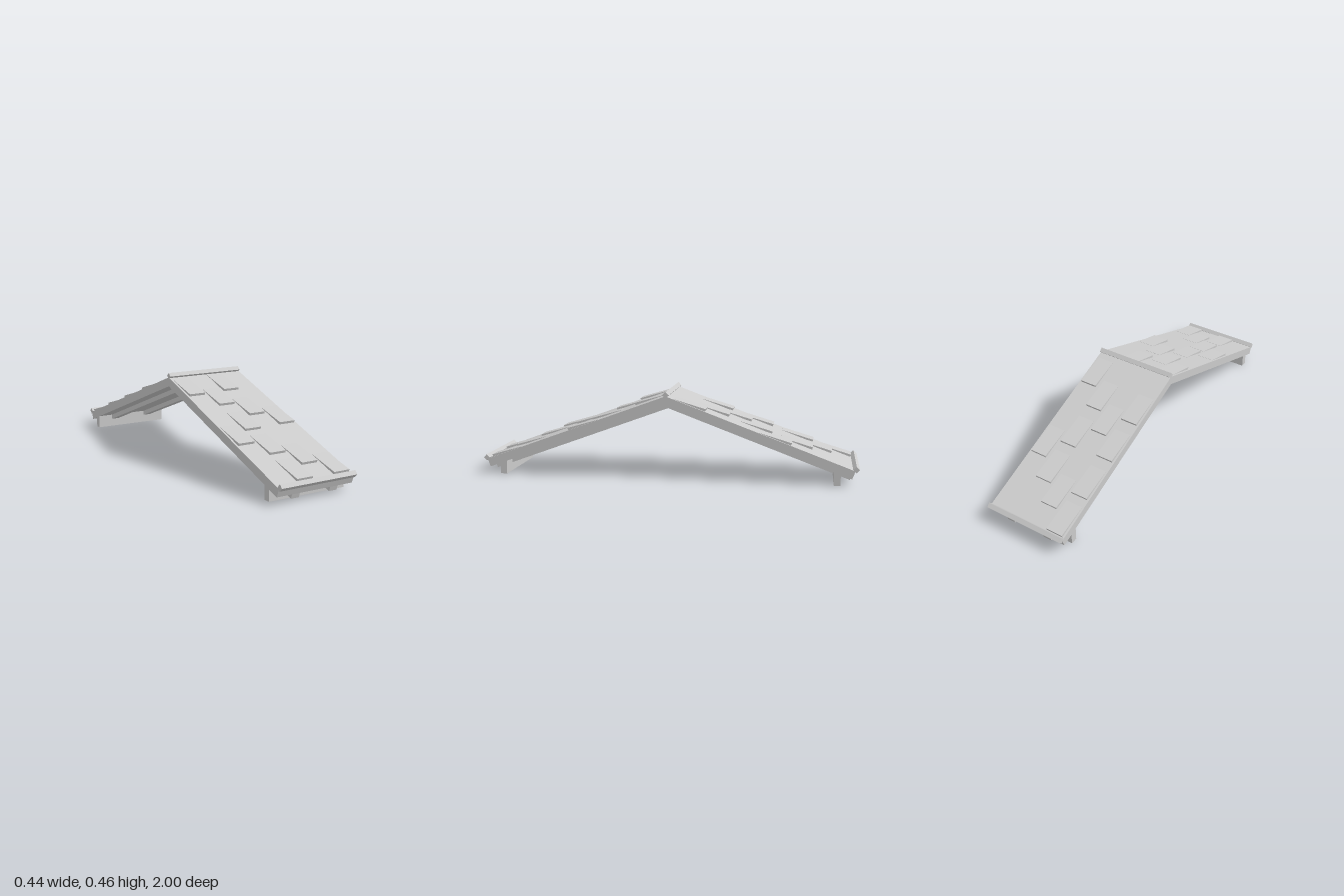
import * as THREE from 'three';

const WIDTH = 0.44;
const SLOPE = 0.37, ANGLE = Math.atan(SLOPE);
const RIDGE_Y = 0.44;
const material = new THREE.MeshStandardMaterial({ color: 0xcccccc, flatShading: true });

// Extrudes a [z, y] profile along x, centred on the given x
function bar(name, profile, width, x = 0) {
  const shape = new THREE.Shape(profile.map(([z, y]) => new THREE.Vector2(z, y)));
  const geometry = new THREE.ExtrudeGeometry(shape, { depth: width, bevelEnabled: false });
  geometry.translate(0, 0, -width / 2);
  geometry.rotateY(-Math.PI / 2);
  const mesh = new THREE.Mesh(geometry, material);
  mesh.name = name;
  mesh.position.x = x;
  return mesh;
}

// Inverted V with its ends cut square to the slope
const chevron = (topY, topZ, bottomY, bottomZ) => [
  [0, topY], [topZ, topY - SLOPE * topZ], [bottomZ, bottomY - SLOPE * bottomZ],
  [0, bottomY],
  [-bottomZ, bottomY - SLOPE * bottomZ], [-topZ, topY - SLOPE * topZ],
];

const diamond = (z, y, r) => [[z + r, y], [z, y + r], [z - r, y], [z, y - r]];

// Wedge shingle: flush with the roof uphill, proud at its lower edge
function shingle(x, z) {
  const length = 0.175, thick = 0.013;
  const mesh = bar('shingle', [[0, -0.004], [0, thick], [-length, 0.001], [-length, -0.004]], 0.092, x);
  mesh.position.set(x, RIDGE_Y - SLOPE * z, z);
  mesh.rotation.x = ANGLE;
  return mesh;
}

export function createModel() {
  const model = new THREE.Group();
  model.name = 'gableRoof';

  // Roof slab and the two rafters under it
  model.add(bar('roofSlab', chevron(RIDGE_Y, 0.978, 0.392, 0.962), WIDTH));
  for (const x of [-0.1115, 0.1115]) {
    model.add(bar('rafter', chevron(0.394, 0.962, 0.366, 0.954), 0.045, x));
  }
  model.add(bar('ridgeCap', diamond(0, 0.446, 0.017), WIDTH));

  // Eave trim and wall plate at each end
  for (const s of [1, -1]) {
    model.add(bar('eaveTrim', diamond(s * 0.983, 0.085, 0.017), WIDTH));
    model.add(bar('wallPlate', [
      [s * 0.87, 0], [s * 0.905, 0], [s * 0.905, 0.06], [s * 0.87, 0.073],
    ], WIDTH));
  }

  // Scattered shingles: lower-edge distances from the ridge, per column
  const columns = [-0.164, -0.054, 0.054, 0.164];
  const front = [[0.195, 0.642], [0.307, 0.538, 0.742, 0.95], [0.183, 0.42, 0.848], [0.526, 0.95]];
  const back = [[0.318, 0.54, 0.757, 0.962], [0.429, 0.857], [0.318, 0.546, 0.757], [0.205, 0.65]];
  [['frontShingles', front, 1], ['backShingles', back, -1]].forEach(([name, layout, s]) => {
    const group = new THREE.Group();
    group.name = name;
    layout.forEach((rows, i) => rows.forEach((z) => group.add(shingle(s * columns[i], z))));
    if (s < 0) group.rotation.y = Math.PI;
    model.add(group);
  });

  return model;
}
